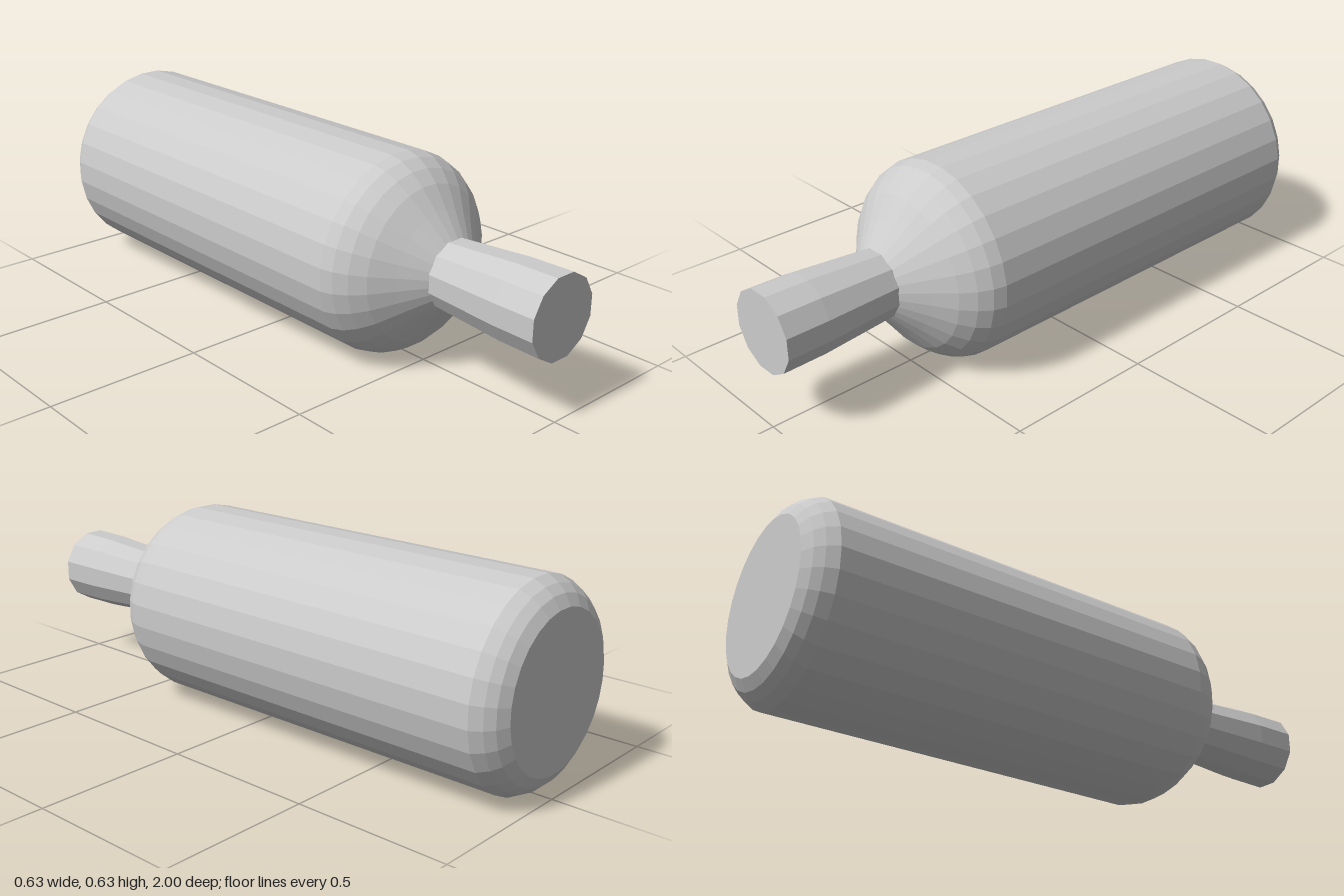
import * as THREE from 'three';

const AXIS_HEIGHT = 0.317;

// Faceted solid of revolution along z; profile entries are [flat radius, z], back to front
function turnedPart(name, sides, profile) {
  const scale = 1 / Math.cos(Math.PI / sides); // radii are measured to the flats
  const points = profile.map(([r, z]) => new THREE.Vector2(r * scale, z));
  const geometry = new THREE.LatheGeometry(points, sides, Math.PI / sides);
  geometry.rotateX(Math.PI / 2);
  const material = new THREE.MeshStandardMaterial({ color: 0xcccccc, flatShading: true });
  const mesh = new THREE.Mesh(geometry, material);
  mesh.name = name;
  mesh.position.y = AXIS_HEIGHT;
  return mesh;
}

export function createModel() {
  const group = new THREE.Group();
  group.name = 'bottle';

  // Cylindrical body with a rounded base edge and a domed shoulder
  group.add(turnedPart('body', 28, [
    [0, -1], [0.24, -1], [0.275, -0.98], [0.298, -0.955], [0.317, -0.92],
    [0.317, 0.38], [0.306, 0.42], [0.282, 0.46], [0.245, 0.5],
    [0.18, 0.55], [0.105, 0.61], [0, 0.61],
  ]));

  // Neck, flaring slightly towards the closed mouth
  const neck = turnedPart('neck', 12, [
    [0, 0.58], [0.104, 0.6], [0.106, 0.61], [0.123, 0.86], [0.125, 1], [0, 1],
  ]);
  neck.position.y = 0.319;
  group.add(neck);

  return group;
}
